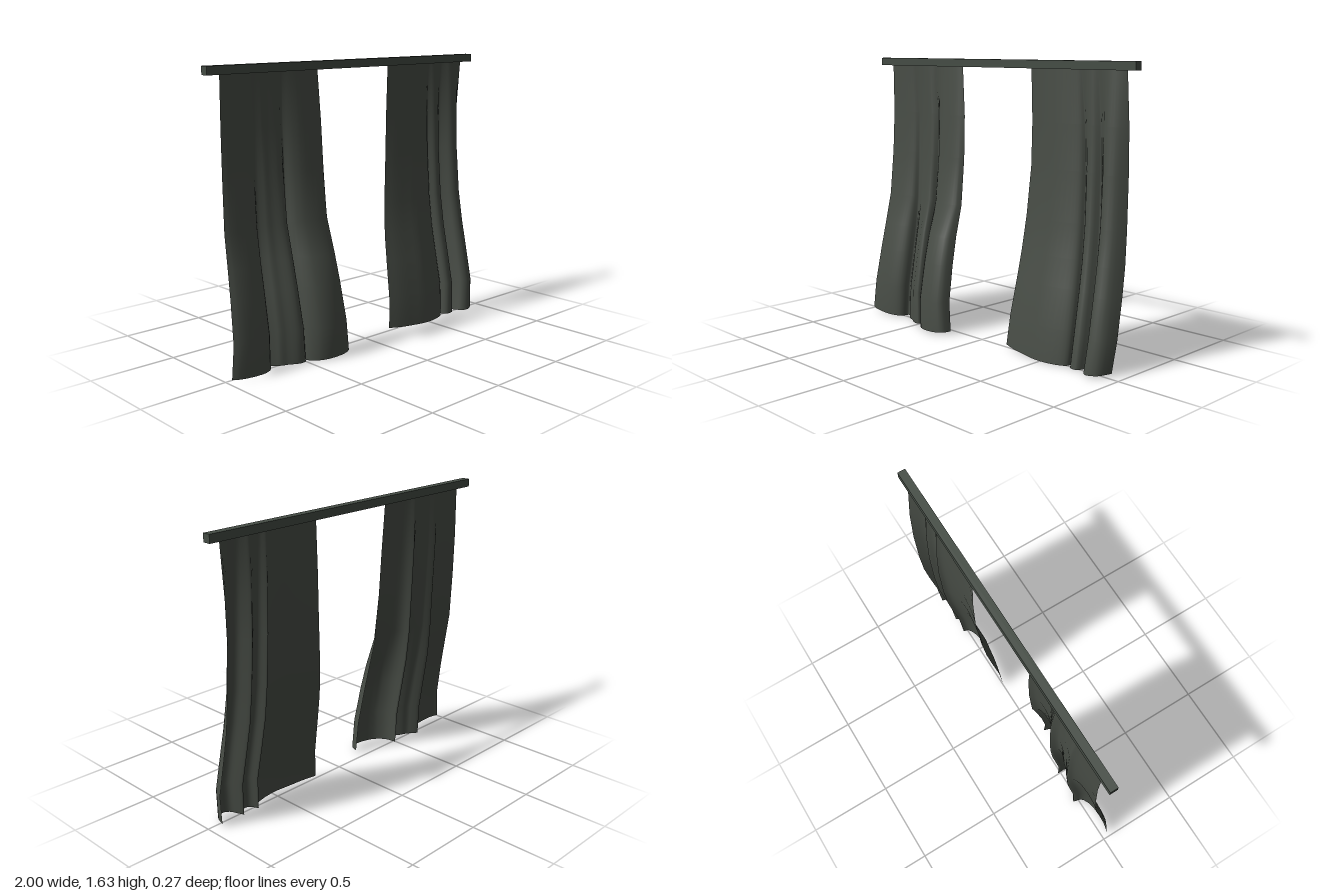
import * as THREE from 'three';

const cloth = new THREE.MeshStandardMaterial({ color: 0x484d46, side: THREE.DoubleSide });
cloth.name = 'dark grey green cloth';
const railPaint = new THREE.MeshStandardMaterial({ color: 0x444c44 });
railPaint.name = 'grey green rail';

// Hem line of each panel, left to right as [x, z]
const hemA = [[-0.98, 0.035], [-0.94, 0.05], [-0.86, 0.058], [-0.77, 0.05], [-0.715, 0.02], [-0.7, -0.025],
  [-0.665, -0.005], [-0.64, 0.015], [-0.6, 0.03], [-0.54, 0.06], [-0.5, 0.055], [-0.495, -0.01],
  [-0.48, 0.055], [-0.42, 0.11], [-0.3, 0.13], [-0.23, 0.11], [-0.21, 0.06]];
const hemB = [[0.2, 0], [0.28, 0.022], [0.38, 0.038], [0.48, 0.05], [0.6, 0.033], [0.655, 0.005], [0.665, -0.025],
  [0.685, 0.01], [0.705, 0.025], [0.745, 0.022], [0.77, -0.025], [0.79, 0.01], [0.81, 0.05],
  [0.845, 0.065], [0.9, 0.04], [0.93, -0.035]];

// Rows from rail to hem: [height, left x, right x, back z, front z]
const rowsA = [
  [1.6, -0.91, -0.265, -0.11, -0.095], [1.3, -0.91, -0.245, -0.13, -0.07],
  [1.05, -0.915, -0.24, -0.125, -0.055], [0.77, -0.925, -0.24, -0.115, -0.02],
  [0.58, -0.935, -0.24, -0.1, 0.05], [0.42, -0.945, -0.235, -0.075, 0.09],
  [0.2, -0.96, -0.225, -0.04, 0.13], [0, -0.98, -0.21, -0.03, 0.13]];
const rowsB = [
  [1.6, 0.28, 0.93, -0.11, -0.095], [1.3, 0.28, 0.93, -0.135, -0.08],
  [1.05, 0.275, 0.93, -0.14, -0.07], [0.77, 0.255, 0.935, -0.13, -0.05],
  [0.58, 0.24, 0.94, -0.115, -0.02], [0.42, 0.23, 0.945, -0.09, 0.01],
  [0.2, 0.215, 0.95, -0.05, 0.05], [0, 0.2, 0.93, -0.035, 0.065]];

// Hanging cloth: evenly spread at the rail, gathering into the hem folds below
function curtainPanel(name, hem, rows) {
  const segments = (hem.length - 1) * 3;
  const curve = new THREE.CatmullRomCurve3(hem.map(([x, z]) => new THREE.Vector3(x, 0, z)));
  const points = curve.getPoints(segments);
  const lengths = [0];
  for (let i = 1; i <= segments; i++) lengths.push(lengths[i - 1] + points[i].distanceTo(points[i - 1]));
  const zs = points.map((p) => p.z);
  const zMin = Math.min(...zs), zMax = Math.max(...zs);
  const x0 = points[0].x, width = points[segments].x - x0;

  const geometry = new THREE.PlaneGeometry(1, 1, segments, rows.length - 1);
  const position = geometry.attributes.position;
  rows.forEach(([y, left, right, back, front], r) => {
    for (let i = 0; i <= segments; i++) {
      const even = lengths[i] / lengths[segments];
      const folded = (points[i].x - x0) / width;
      const gather = Math.min(1, Math.pow(1 - y / 1.6, 0.8));
      const u = THREE.MathUtils.lerp(even, folded, gather);
      const v = (zs[i] - zMin) / (zMax - zMin);
      const lift = y === 0 ? 0.005 + 0.016 * (2 * u - 1) ** 2 : 0;
      position.setXYZ(r * (segments + 1) + i,
        THREE.MathUtils.lerp(left, right, u), y + lift, THREE.MathUtils.lerp(back, front, v));
    }
  });
  geometry.computeVertexNormals();
  const mesh = new THREE.Mesh(geometry, cloth);
  mesh.name = name;
  return mesh;
}

export function createModel() {
  const group = new THREE.Group();
  group.name = 'curtains';

  // Square rail
  const rail = new THREE.Mesh(new THREE.BoxGeometry(2, 0.046, 0.046), railPaint);
  rail.name = 'curtainRail';
  rail.position.set(0, 1.61, -0.105);
  group.add(rail);

  // Two draped panels
  group.add(curtainPanel('rightCurtain', hemA, rowsA));
  group.add(curtainPanel('leftCurtain', hemB, rowsB));
  return group;
}
